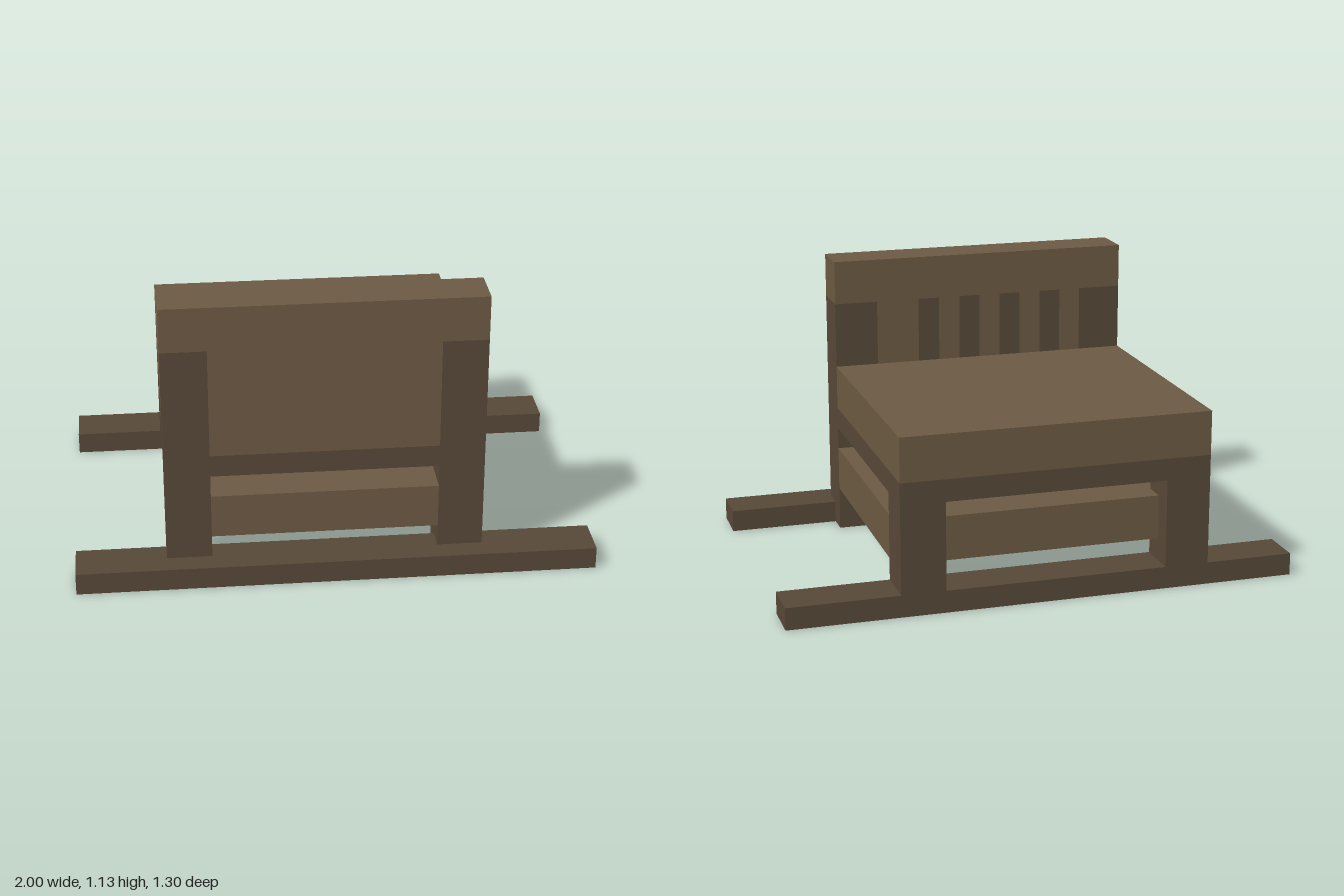
import * as THREE from 'three';

// One building unit: the longest side (23 units) measures 2
const U = 2 / 23;

export function createModel() {
  const group = new THREE.Group();
  const light = new THREE.MeshStandardMaterial({ color: 0x6b5942, flatShading: true });
  const dark = new THREE.MeshStandardMaterial({ color: 0x574838, flatShading: true });

  // Block from its low to its high limits, in units
  function block(name, material, [x0, x1], [y0, y1], [z0, z1]) {
    const geometry = new THREE.BoxGeometry((x1 - x0) * U, (y1 - y0) * U, (z1 - z0) * U);
    const mesh = new THREE.Mesh(geometry, material);
    mesh.name = name;
    mesh.position.set((x0 + x1) / 2 * U, (y0 + y1) / 2 * U, (z0 + z1) / 2 * U);
    group.add(mesh);
  }

  // Ground runners
  block('frontRunner', dark, [-11.5, 11.5], [0, 1], [5.5, 7.5]);
  block('backRunner', dark, [-11.5, 11.5], [0, 1], [-7.5, -5.5]);

  // Posts, legs and the seat frame's side rails
  for (const [side, x] of [['right', [-7.5, -5.5]], ['left', [4.5, 6.5]]]) {
    block(side + 'FrontPost', dark, x, [0, 11], [4.5, 6.5]);
    block(side + 'BackLeg', dark, x, [1, 5], [-7.5, -5.5]);
    block(side + 'SeatRail', dark, x, [5, 6], [-7.5, 4.5]);
  }
  block('frontSeatRail', dark, [-5.5, 4.5], [5, 6], [4.5, 6.5]);
  block('backSeatRail', dark, [-5.5, 4.5], [5, 6], [-7.5, -5.5]);

  // Ring of lower stretchers
  block('frontStretcher', light, [-5.5, 4.5], [2, 4], [4.5, 6.5]);
  block('backStretcher', light, [-5.5, 4.5], [2, 4], [-6.5, -4.5]);
  block('rightStretcher', light, [-6.5, -4.5], [2, 4], [-5.5, 4.5]);
  block('leftStretcher', light, [4.5, 6.5], [2, 4], [-5.5, 4.5]);

  // Seat
  block('seat', light, [-7.5, 6.5], [6, 8], [-7.5, 4.5]);

  // Backrest: top rail, front panel, and inlaid slats on the seat side
  block('topRail', light, [-7.5, 6.5], [11, 13], [4.5, 6.5]);
  block('backPanel', light, [-5.5, 4.5], [6, 11], [5.5, 6.5]);
  let edge = -5.5;
  for (const x of [-4.5, -2.5, -0.5, 1.5]) {
    block('panelInfill', light, [edge, x], [6, 11], [4.5, 5.5]);
    block('backSlat', dark, [x, x + 1], [6, 11], [4.5, 5.5]);
    edge = x + 1;
  }
  block('panelInfill', light, [edge, 4.5], [6, 11], [4.5, 5.5]);

  return group;
}
